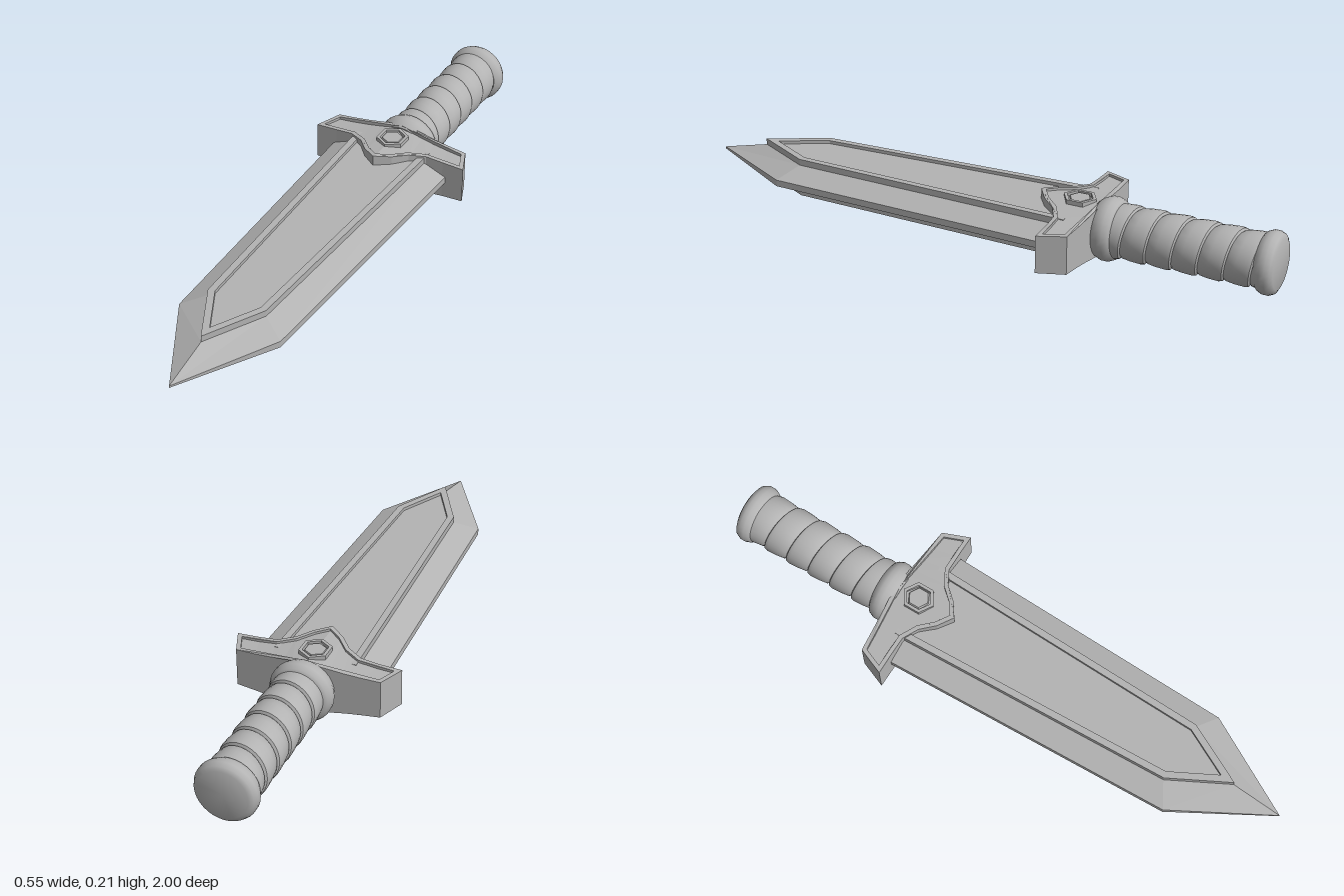
import * as THREE from 'three';
import { toCreasedNormals } from 'three/addons/utils/BufferGeometryUtils.js';

const MID = 0.105; // height of the centre plane above the ground

// Faceted solid through equal-length sections, each counterclockwise seen from ahead
function loft(sections) {
  const pos = [];
  const tri = (...p) => p.forEach((v) => pos.push(...v));
  const n = sections[0].length;
  for (let i = 0; i < sections.length - 1; i++) {
    for (let j = 0; j < n; j++) {
      const k = (j + 1) % n, s = sections[i], t = sections[i + 1];
      tri(s[j], s[k], t[k]);
      tri(s[j], t[k], t[j]);
    }
  }
  const first = sections[0], last = sections[sections.length - 1];
  for (let j = 1; j < n - 1; j++) {
    tri(first[0], first[j + 1], first[j]);
    tri(last[0], last[j], last[j + 1]);
  }
  const g = new THREE.BufferGeometry();
  g.setAttribute('position', new THREE.Float32BufferAttribute(pos, 3));
  g.computeVertexNormals();
  return g;
}

// Mitred inset of a closed [x, z] outline that is counterclockwise from above
function inset(pts, d) {
  const n = pts.length;
  const normal = (a, b) => new THREE.Vector2(b[1] - a[1], b[0] - a[0]).normalize();
  return pts.map((p, i) => {
    const n1 = normal(pts[(i + n - 1) % n], p), n2 = normal(p, pts[(i + 1) % n]);
    const m = n1.clone().add(n2).multiplyScalar(d / (1 + n1.dot(n2)));
    return [p[0] + m.x, p[1] - m.y];
  });
}

// Raised frame along an outline; topAt gives its height at each x
function frame(outline, width, drop, topAt) {
  const flat = (pts) => pts.map(([x, z]) => new THREE.Vector2(x, -z));
  const shape = new THREE.Shape(flat(outline));
  shape.holes.push(new THREE.Path(flat(inset(outline, width))));
  let g = new THREE.ExtrudeGeometry(shape, { depth: 1, bevelEnabled: false });
  g.rotateX(-Math.PI / 2);
  const p = g.attributes.position;
  for (let i = 0; i < p.count; i++) {
    p.setY(i, topAt(p.getX(i)) - (p.getY(i) > 0.5 ? 0 : drop));
  }
  if (g.index) g = g.toNonIndexed();
  g.computeVertexNormals();
  return g;
}

// Spiral wrap: overlapping bands with a narrow groove between turns
function wrapGeometry(z0, z1) {
  const pitch = 0.085, segs = 32, turns = 8;
  const profile = [[0, 0.079], [0.05, 0.087], [0.2, 0.09], [0.6, 0.088], [0.92, 0.084]];
  const rows = turns * profile.length, pos = [], idx = [];
  for (let r = 0; r <= rows; r++) {
    const [f, rad] = profile[r % profile.length];
    const turn = Math.floor(r / profile.length) - 1;
    for (let i = 0; i <= segs; i++) {
      const a = (i / segs) * Math.PI * 2;
      const z = z0 + (turn + f + i / segs) * pitch;
      pos.push(rad * Math.sin(a), rad * Math.cos(a), THREE.MathUtils.clamp(z, z0, z1));
      if (r < rows && i < segs) {
        const q = r * (segs + 1) + i, u = q + segs + 1;
        idx.push(q, u, q + 1, q + 1, u, u + 1);
      }
    }
  }
  const g = new THREE.BufferGeometry();
  g.setAttribute('position', new THREE.Float32BufferAttribute(pos, 3));
  g.setIndex(idx);
  // Keep the faces pointing away from the axis
  const [a, b, c] = idx.slice(rows * segs * 3 - 96, rows * segs * 3 - 93)
    .map((i) => new THREE.Vector3().fromArray(pos, i * 3));
  const nrm = b.clone().sub(a).cross(c.clone().sub(a));
  if (nrm.x * a.x + nrm.y * a.y < 0) g.setIndex(idx.reverse());
  return toCreasedNormals(g, 0.6);
}

// Round part turned about the z axis from [radius, z] points, listed from back to front
function turned(points) {
  const g = new THREE.LatheGeometry(points.map(([r, z]) => new THREE.Vector2(r, z)), 32);
  g.rotateX(Math.PI / 2);
  return toCreasedNormals(g, 0.7);
}

export function createModel() {
  const model = new THREE.Group();
  const grey = new THREE.MeshStandardMaterial({ color: 0xb3b3b3 });
  grey.name = 'grey';
  const add = (name, geometry) => {
    const m = new THREE.Mesh(geometry, grey);
    m.name = name;
    m.position.y = MID;
    model.add(m);
    return m;
  };
  // Same part on the upper and lower face
  const addBoth = (name, geometry) => {
    add(name + 'Upper', geometry);
    add(name + 'Lower', geometry).rotation.z = Math.PI;
  };

  // Blade: narrow cutting edge, bevels and a flat middle
  const plan = (w0, zs, w1, zt) => [[w0, -0.34], [-w0, -0.34], [-w1, zs], [0, zt], [w1, zs]];
  const edge = plan(0.212, 0.68, 0.178, 1);
  const middle = plan(0.136, 0.635, 0.102, 0.83);
  const level = (pts, y) => pts.map(([x, z]) => [x, z > 0.99 ? y * 0.3 : y, z]);
  add('blade', loft([
    level(middle, -0.054), level(middle, -0.044), level(edge, -0.011),
    level(edge, 0.011), level(middle, 0.044), level(middle, 0.054),
  ]));
  addBoth('bladeBorder', frame(middle, 0.022, 0.022, () => 0.065));

  // Guard: rows of x, front z and half height, mirrored
  const half = [
    [0, -0.2, 0.09], [0.05, -0.235, 0.083], [0.09, -0.28, 0.077],
    [0.14, -0.308, 0.071], [0.2, -0.31, 0.066], [0.275, -0.31, 0.0625],
  ];
  const full = [...half.slice(1).reverse().map(([x, z, h]) => [-x, z, h]), ...half];
  const back = (x) => [x * 0.87, -0.42 + 0.075 * Math.abs(x)];
  const heightAt = (x) => {
    const ax = Math.min(Math.abs(x), 0.275);
    const i = Math.max(1, half.findIndex((r) => r[0] >= ax - 1e-6));
    const [a, b] = [half[i - 1], half[i]];
    return a[2] + ((b[2] - a[2]) * (ax - a[0])) / (b[0] - a[0]);
  };
  add('guard', loft(full.map(([x, zf, h]) => {
    const [xb, zb] = back(x), t = h - 0.008;
    return [[xb, -t, zb], [xb, t, zb], [x, t, zf], [x, -t, zf]];
  })));
  const outline = [
    ...full.map(([x]) => back(x)).reverse(),
    ...full.map(([x, zf]) => [x, zf]),
  ];
  addBoth('guardRim', frame(outline, 0.014, 0.025, heightAt));

  // Six-sided stud on both faces of the guard
  const hex = Array.from({ length: 6 }, (_, i) => {
    const a = (i * Math.PI) / 3 + Math.PI / 2;
    return [0.052 * Math.cos(a), -0.335 - 0.056 * Math.sin(a)];
  });
  addBoth('studRim', frame(hex, 0.01, 0.03, () => 0.09));
  const stud = new THREE.CylinderGeometry(0.034, 0.044, 0.02, 6).toNonIndexed();
  stud.computeVertexNormals();
  stud.translate(0, 0.077, -0.335);
  addBoth('stud', stud);

  // Handle with collar and pommel
  add('gripWrap', wrapGeometry(-0.955, -0.44));
  add('collar', turned([
    [0, -0.478], [0.082, -0.478], [0.096, -0.47], [0.104, -0.452],
    [0.104, -0.435], [0.096, -0.415], [0.085, -0.4], [0, -0.4],
  ]));
  add('pommel', turned([
    [0, -1], [0.08, -1], [0.094, -0.993], [0.101, -0.978], [0.101, -0.962],
    [0.094, -0.946], [0.085, -0.938], [0, -0.938],
  ]));
  return model;
}
